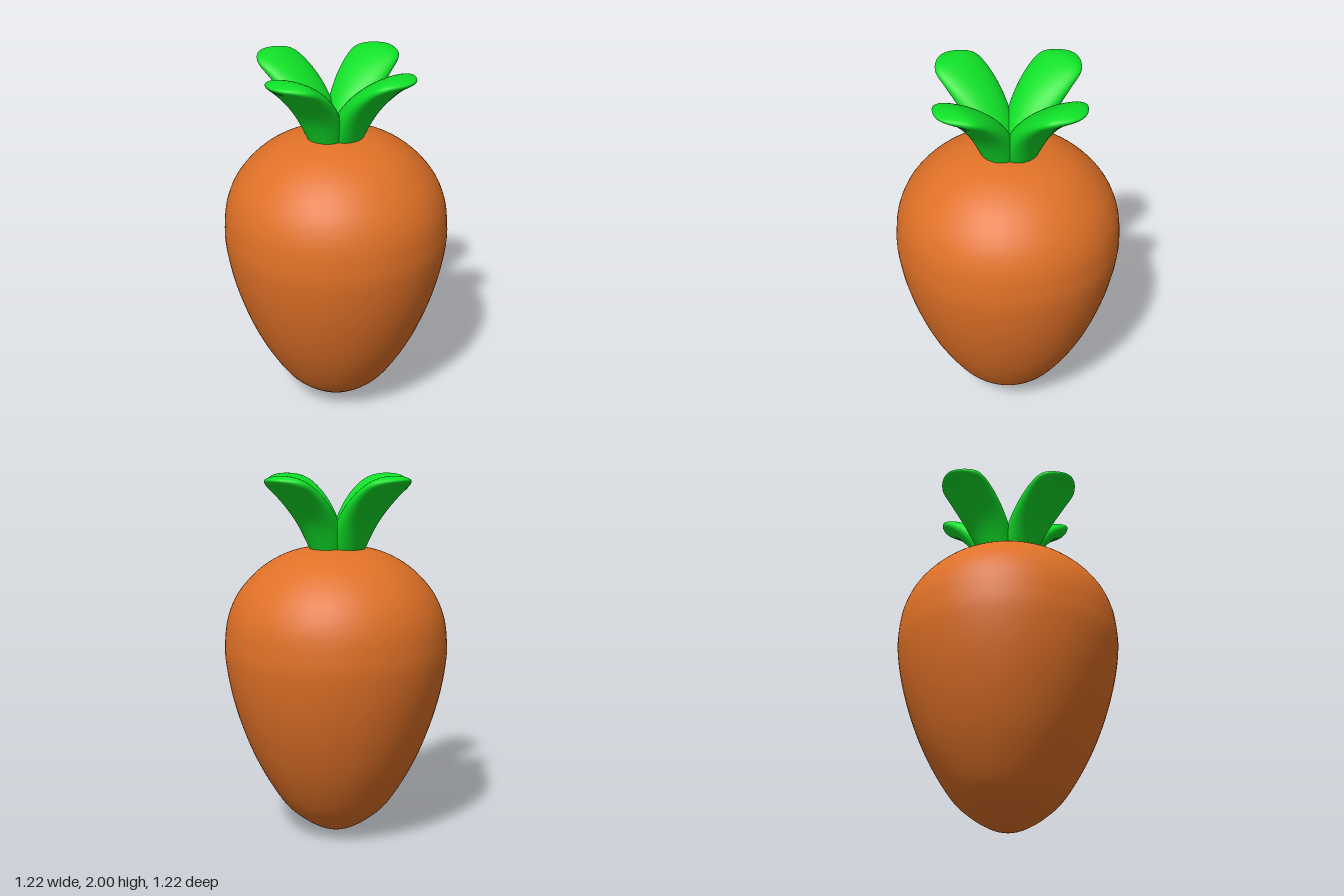
import * as THREE from 'three';

const orange = new THREE.MeshStandardMaterial({ color: 0xe07127 });
orange.name = 'carrotOrange';
const green = new THREE.MeshStandardMaterial({ color: 0x10e028 });
green.name = 'leafGreen';

// Plump root: a smooth profile turned around the y axis
function makeRoot() {
  const profile = new THREE.SplineCurve([
    [0, 0], [0.1, 0.03], [0.21, 0.1], [0.31, 0.2], [0.43, 0.4], [0.515, 0.6], [0.575, 0.8],
    [0.607, 0.98], [0.61, 1.1], [0.59, 1.24], [0.53, 1.37], [0.42, 1.49], [0.29, 1.57],
    [0.15, 1.61], [0, 1.62],
  ].map(([r, y]) => new THREE.Vector2(r, y)));
  const points = profile.getPoints(70);
  points.forEach((p) => { p.x = Math.max(0, p.x); });
  const root = new THREE.Mesh(new THREE.LatheGeometry(points, 72), orange);
  root.name = 'root';
  return root;
}

// Leaf pointing to +z: elliptical sections swept along an outward-bending spine
function makeLeafGeometry() {
  const spine = new THREE.CatmullRomCurve3([
    [0.05, 1.55], [0.09, 1.65], [0.17, 1.78], [0.28, 1.89], [0.39, 1.96], [0.48, 1.98],
  ].map(([z, y]) => new THREE.Vector3(0, y, z)));
  // Half width and half thickness along the spine
  const size = new THREE.SplineCurve([
    [0.09, 0.08], [0.113, 0.085], [0.135, 0.075], [0.15, 0.06], [0.147, 0.043], [0.12, 0.03],
  ].map(([w, t]) => new THREE.Vector2(w, t)));
  const rings = 40, sides = 36;
  const positions = [], indices = [];
  for (let i = 0; i <= rings; i++) {
    const t = Math.sin((i / rings) * Math.PI / 2); // finer rings towards the tip
    const c = spine.getPoint(t);
    const d = spine.getTangent(t);
    const s = size.getPoint(t);
    const round = t > 0.72 ? Math.sqrt(Math.max(0, 1 - ((t - 0.72) / 0.28) ** 2)) : 1;
    for (let j = 0; j < sides; j++) {
      const a = (j / sides) * Math.PI * 2;
      const n = Math.sin(a) * s.y * round;
      positions.push(Math.cos(a) * s.x * round, c.y + n * d.z, c.z - n * d.y);
      if (i < rings) {
        const k = (j + 1) % sides;
        const p = i * sides + j, q = i * sides + k;
        indices.push(p, q, p + sides, q, q + sides, p + sides);
      }
    }
  }
  // Close the base
  const base = spine.getPoint(0);
  const centre = positions.length / 3;
  positions.push(0, base.y, base.z);
  for (let j = 0; j < sides; j++) indices.push(centre, (j + 1) % sides, j);
  const geometry = new THREE.BufferGeometry();
  geometry.setAttribute('position', new THREE.Float32BufferAttribute(positions, 3));
  geometry.setIndex(indices);
  geometry.computeVertexNormals();
  return geometry;
}

export function createModel() {
  const model = new THREE.Group();
  model.name = 'carrot';
  model.add(makeRoot());

  // Four leaves spreading from the crown
  const leaves = new THREE.Group();
  leaves.name = 'leaves';
  leaves.position.x = -0.01;
  const geometry = makeLeafGeometry();
  ['frontLeaf', 'leftLeaf', 'backLeaf', 'rightLeaf'].forEach((name, i) => {
    const leaf = new THREE.Mesh(geometry, green);
    leaf.name = name;
    leaf.rotation.y = (i * Math.PI) / 2;
    leaves.add(leaf);
  });
  model.add(leaves);
  return model;
}
